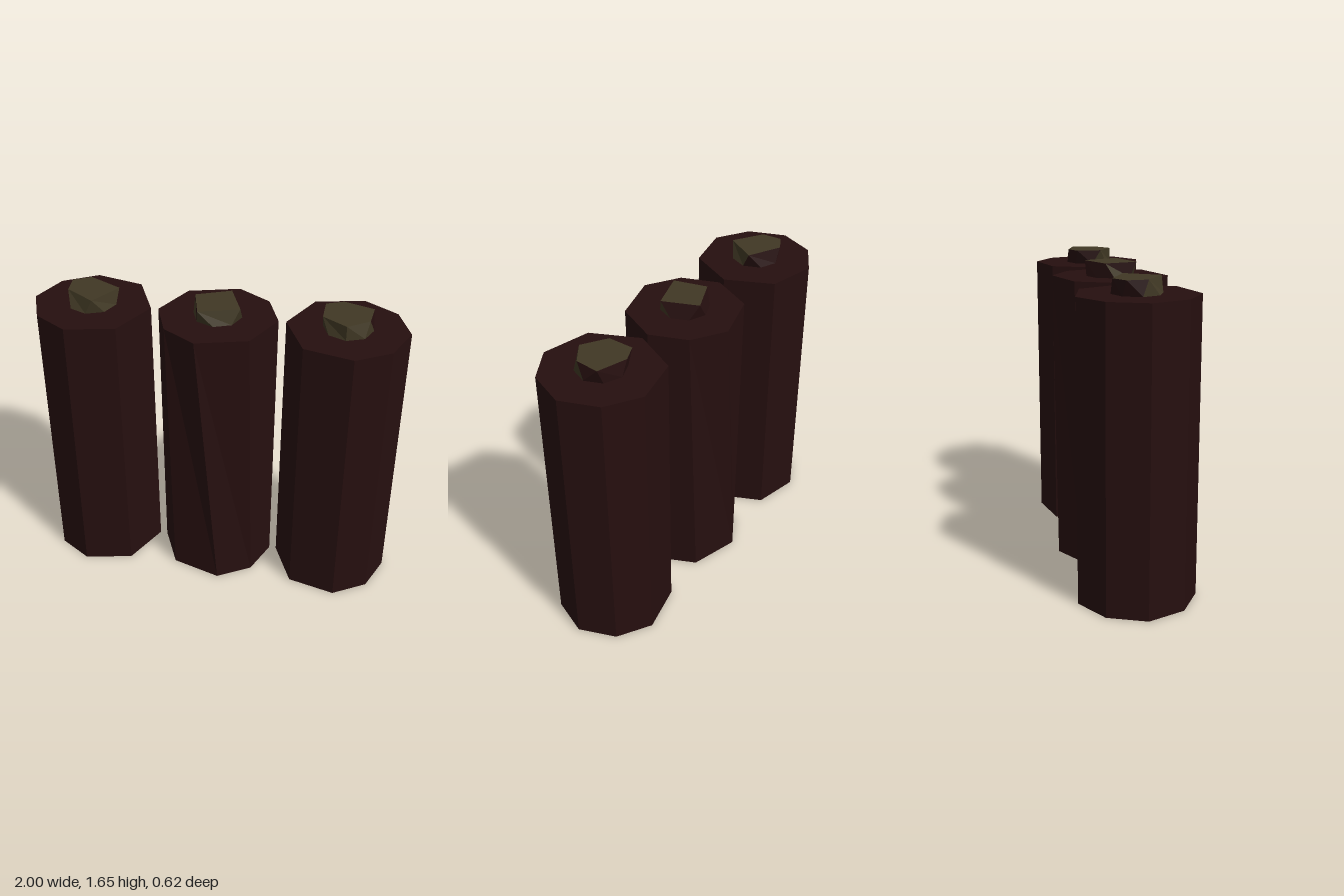
import * as THREE from 'three';

const BODY_TOP = 1.57, CAP_TOP = 1.65;

// Flat-shaded geometry from triangles; group 0 and 1 pick the material
function facets(groups) {
  const geo = new THREE.BufferGeometry();
  const positions = [];
  groups.forEach((tris, index) => {
    geo.addGroup(positions.length / 3, tris.length * 3, index);
    for (const tri of tris) for (const p of tri) positions.push(p.x, p.y, p.z);
  });
  geo.setAttribute('position', new THREE.Float32BufferAttribute(positions, 3));
  geo.computeVertexNormals();
  return geo;
}

const ring = (points, y) => points.map(([x, z]) => new THREE.Vector3(x, y, z));
const mirrorX = (points) => points.map(([x, z]) => [-x, z]).reverse();
const fan = (r) => r.slice(2).map((p, i) => [r[0], r[i + 1], p]);

// Eight-sided column between two outlines
function columnGeometry(bottomPoints, topPoints) {
  const bottom = ring(bottomPoints, 0), top = ring(topPoints, BODY_TOP);
  const tris = [...fan(top), ...fan([...bottom].reverse())];
  bottom.forEach((b, i) => {
    const j = (i + 1) % bottom.length;
    tris.push([b, bottom[j], top[i]], [bottom[j], top[j], top[i]]);
  });
  return facets([tris]);
}

// Rough terminal: an irregular top stitched to an octagonal base by angle
function terminalGeometry(topPoints) {
  const TAU = Math.PI * 2;
  const angle = (p) => (Math.atan2(-p.z, p.x) + TAU) % TAU;
  const top = ring(topPoints, CAP_TOP).sort((a, b) => angle(a) - angle(b));
  const base = Array.from({ length: 8 }, (_, i) =>
    new THREE.Vector3(0.13 * Math.cos(i * TAU / 8), BODY_TOP, -0.13 * Math.sin(i * TAU / 8)));
  const at = (r, i) => r[i % r.length];
  const next = (r, i) => angle(at(r, i + 1)) + (i + 1 >= r.length ? TAU : 0);
  const metal = fan(top), dark = [];
  let i = 0, j = 0;
  while (i < top.length || j < base.length) {
    const useTop = j >= base.length || (i < top.length && next(top, i) < next(base, j));
    const tri = useTop
      ? [at(base, j), at(top, i + 1), at(top, i)]
      : [at(base, j), at(base, j + 1), at(top, i)];
    if (useTop) i++; else j++;
    const normal = new THREE.Triangle(...tri).getNormal(new THREE.Vector3());
    (normal.z > 0.35 ? metal : dark).push(tri);
  }
  return facets([metal, dark]);
}

export function createModel() {
  const brown = new THREE.MeshStandardMaterial({ color: 0x260f0f });
  brown.name = 'dark brown casing';
  const olive = new THREE.MeshStandardMaterial({ color: 0x403824 });
  olive.name = 'tarnished olive metal';

  // Outlines as x, z, counter-clockwise from above
  const outer = [[0.32, 0], [0.2, -0.25], [-0.06, -0.31], [-0.24, -0.2],
    [-0.32, 0], [-0.24, 0.2], [-0.06, 0.31], [0.2, 0.25]];
  const twisted = [[0.32, 0], [0.24, -0.2], [0.06, -0.31], [-0.21, -0.23],
    [-0.32, 0], [-0.24, 0.2], [-0.06, 0.31], [0.21, 0.23]];
  // Reversed mirror starts one corner late; rotate so corners line up
  const untwisted = mirrorX(twisted);
  const startAt = untwisted.findIndex(([x]) => x === 0.32);
  const twistedBase = [...untwisted.slice(startAt), ...untwisted.slice(0, startAt)];

  const cells = [
    { name: 'rightCell', x: -0.68, bottom: outer, top: outer,
      cap: [[-0.13, -0.08], [-0.04, -0.13], [0.14, -0.04], [0.04, 0.13], [-0.12, 0.03]] },
    { name: 'middleCell', x: 0, bottom: twistedBase, top: twisted,
      cap: [[-0.13, -0.05], [0.05, -0.13], [0.13, 0.06], [-0.08, 0.13]] },
    { name: 'leftCell', x: 0.68, bottom: mirrorX(outer), top: mirrorX(outer),
      cap: [[-0.13, -0.09], [-0.04, -0.13], [0.12, -0.08], [0.11, 0.05], [0, 0.13], [-0.13, 0.05]] },
  ];

  const model = new THREE.Group();
  model.name = 'cellRow';
  for (const c of cells) {
    const cell = new THREE.Group();
    cell.name = c.name;
    cell.position.x = c.x;
    const casing = new THREE.Mesh(columnGeometry(c.bottom, c.top), [brown]);
    casing.name = 'casing';
    const terminal = new THREE.Mesh(terminalGeometry(c.cap), [olive, brown]);
    terminal.name = 'terminal';
    cell.add(casing, terminal);
    model.add(cell);
  }
  return model;
}
